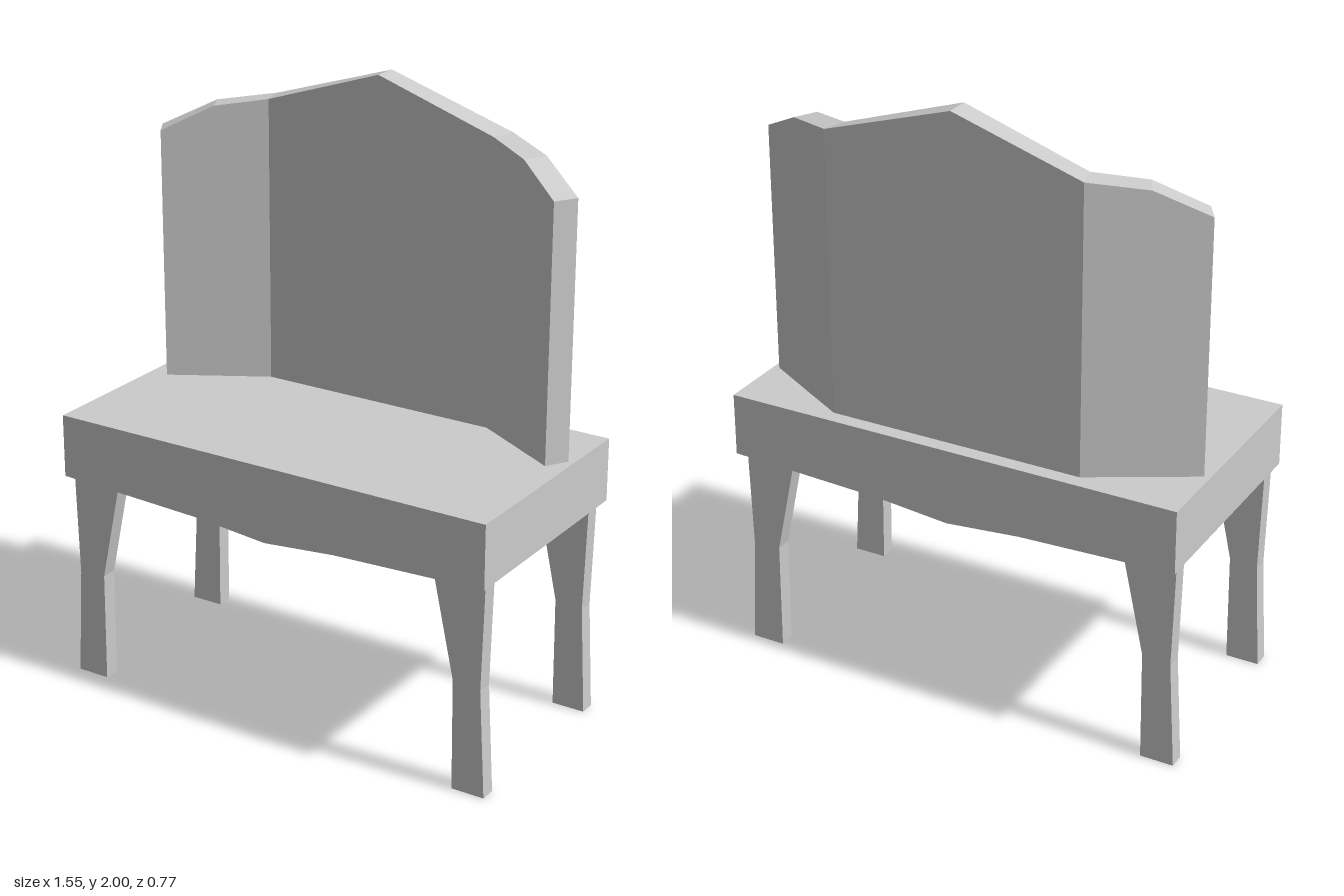
import * as THREE from 'three';

const material = new THREE.MeshStandardMaterial({ color: 0xcccccc, flatShading: true, side: THREE.DoubleSide });

// Extrudes a front outline between two depths
function slab(name, points, z0, z1) {
  const shape = new THREE.Shape(points.map(([x, y]) => new THREE.Vector2(x, y)));
  const geometry = new THREE.ExtrudeGeometry(shape, { depth: z1 - z0, bevelEnabled: false });
  geometry.translate(0, 0, z0);
  const mesh = new THREE.Mesh(geometry, material);
  mesh.name = name;
  return mesh;
}

// Skins four-cornered cross-sections and caps both ends
function loft(sections) {
  const positions = [];
  const quad = (a, b, c, d) => positions.push(...a, ...b, ...c, ...a, ...c, ...d);
  for (let i = 0; i < sections.length - 1; i++) {
    const s = sections[i], t = sections[i + 1];
    for (let k = 0; k < 4; k++) quad(s[k], t[k], t[(k + 1) % 4], s[(k + 1) % 4]);
  }
  quad(...sections[0]);
  quad(...[...sections[sections.length - 1]].reverse());
  const geometry = new THREE.BufferGeometry();
  geometry.setAttribute('position', new THREE.Float32BufferAttribute(positions, 3));
  geometry.computeVertexNormals();
  return geometry;
}

export function createModel() {
  const group = new THREE.Group();

  // Seat block with a shallow drooping underside
  const under = [[0.775, 0.71], [0.58, 0.703], [0.25, 0.69], [0, 0.667]];
  const underMirrored = under.slice(0, 3).reverse().map(([x, y]) => [-x, y]);
  group.add(slab('seat', [[-0.775, 0.92], [0.775, 0.92], ...under, ...underMirrored], -0.387, 0.387));

  // Four flat legs, flared towards the seat
  const leg = [[0.66, 0], [0.772, 0], [0.752, 0.36], [0.762, 0.72], [0.582, 0.72], [0.657, 0.37]];
  for (const [end, z0, z1] of [['front', 0.302, 0.355], ['back', -0.345, -0.292]]) {
    group.add(slab(end + 'LeftLeg', leg, z0, z1));
    group.add(slab(end + 'RightLeg', leg.map(([x, y]) => [-x, y]).reverse(), z0, z1));
  }

  // Backrest with angled wings: [inner x, inner z, outer x, outer z, top y]
  const half = [
    [0.41, -0.257, 0.432, -0.337, 1.865],
    [0.563, -0.17, 0.6, -0.243, 1.84],
    [0.712, -0.085, 0.755, -0.155, 1.757],
  ];
  const stations = [
    ...half.map(([a, b, c, d, y]) => [-a, b, -c, d, y]).reverse(),
    [0, -0.257, 0, -0.337, 2],
    ...half,
  ];
  const seatTop = 0.92;
  const backrest = new THREE.Mesh(loft(stations.map(([ix, iz, ox, oz, y]) => [
    [ix, seatTop, iz], [ix, y, iz], [ox, y, oz], [ox, seatTop, oz],
  ])), material);
  backrest.name = 'backrest';
  group.add(backrest);

  return group;
}
